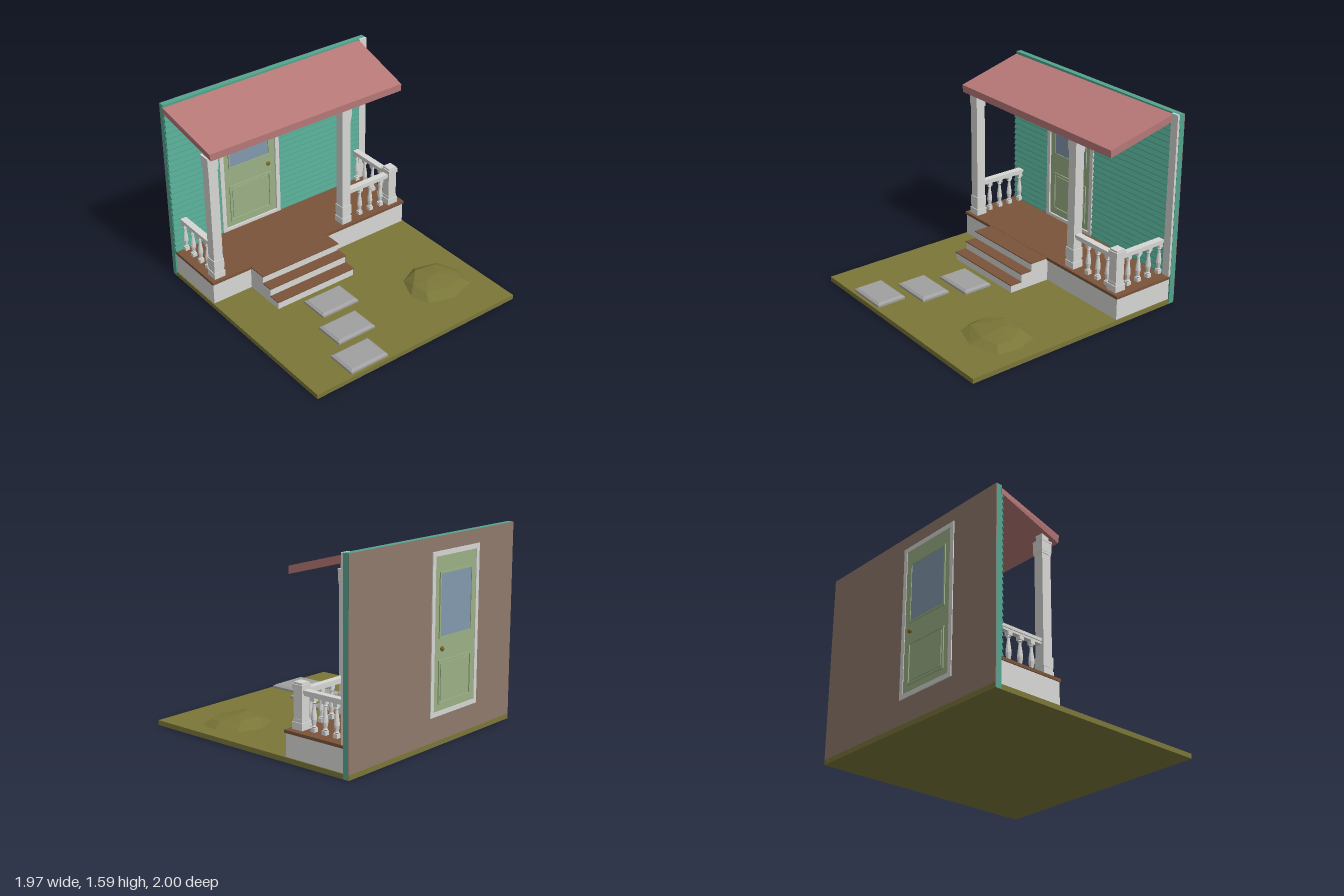
import * as THREE from 'three';
import { ConvexGeometry } from 'three/addons/geometries/ConvexGeometry.js';

const mat = (name, color, extra = {}) => {
  const m = new THREE.MeshStandardMaterial({ color, ...extra });
  m.name = name;
  return m;
};

export function createModel() {
  const root = new THREE.Group();
  root.name = 'porch';
  const white = mat('white paint', 0xd6d6d4);
  const teal = mat('teal siding', 0x52a48e);
  const taupe = mat('taupe plaster', 0x907a6c);
  const red = mat('red roof', 0xb67877);
  const grass = mat('olive grass', 0x7a7638, { flatShading: true });
  const wood = mat('brown wood', 0x7a543b);
  const stone = mat('grey stone', 0xa0a0a0);
  const green = mat('green door', 0x9ab085);
  const glass = mat('blue glass', 0x8299ad);
  const brass = mat('brass', 0x80622a);
  const turned = white.clone();
  turned.flatShading = true;

  const add = (name, geo, material, parent = root) => {
    const m = new THREE.Mesh(geo, material);
    m.name = name;
    parent.add(m);
    return m;
  };
  // Box given by its limits on each axis
  const box = (name, material, x0, x1, y0, y1, z0, z1, parent = root) =>
    add(name, new THREE.BoxGeometry(x1 - x0, y1 - y0, z1 - z0), material, parent)
      .position.set((x0 + x1) / 2, (y0 + y1) / 2, (z0 + z1) / 2);
  const group = (name) => {
    const g = new THREE.Group();
    g.name = name;
    root.add(g);
    return g;
  };
  const rectPath = (P, x0, x1, y0, y1) =>
    new P([[x0, y0], [x1, y0], [x1, y1], [x0, y1]].map(([x, y]) => new THREE.Vector2(x, y)));
  // Rectangular picture frame with border b
  const frame = (name, material, x0, x1, y0, y1, b, z0, z1, parent) => {
    const s = rectPath(THREE.Shape, x0, x1, y0, y1);
    s.holes.push(rectPath(THREE.Path, x0 + b, x1 - b, y0 + b, y1 - b));
    const g = new THREE.ExtrudeGeometry(s, { depth: z1 - z0, bevelEnabled: false });
    add(name, g.translate(0, 0, z0), material, parent);
  };

  // Ground and wall
  box('ground', grass, -0.98, 0.98, 0, 0.04, -0.972, 1);
  box('wall', teal, -0.982, 0.982, 0.002, 1.59, -0.967, -0.92);
  box('wallBack', taupe, -0.982, 0.982, 0.03, 1.589, -0.971, -0.966);
  box('cornerTrim', white, 0.91, 0.98, 0.245, 1.59, -0.921, -0.9);

  // Lapped boards beside and above the door
  const siding = (x0, x1, y0, count) => {
    const pitch = 0.05, pts = [new THREE.Vector2(0.922, y0)];
    for (let i = 0; i < count; i++) {
      pts.push(new THREE.Vector2(0.901, y0 + i * pitch), new THREE.Vector2(0.901, y0 + i * pitch + 0.006),
        new THREE.Vector2(0.917, y0 + (i + 1) * pitch));
    }
    pts.push(new THREE.Vector2(0.922, y0 + count * pitch));
    const g = new THREE.ExtrudeGeometry(new THREE.Shape(pts.reverse()), { depth: x1 - x0, bevelEnabled: false });
    add('siding', g.rotateY(Math.PI / 2).translate(x0, 0, 0), teal);
  };
  siding(-0.98, -0.52, 0.245, 26);
  siding(0.055, 0.912, 0.245, 26);
  siding(-0.52, 0.055, 1.445, 2);

  // Door, seen from both sides of the wall
  const door = group('door');
  box('doorLeaf', green, -0.49, 0.03, 0.26, 1.45, -0.974, -0.911, door);
  frame('doorFrame', white, -0.522, 0.058, 0.235, 1.48, 0.037, -0.979, -0.896, door);
  for (const [z, s] of [[-0.911, 1], [-0.974, -1]]) {
    const span = (d) => [Math.min(z, z + s * d), Math.max(z, z + s * d)];
    frame('windowMoulding', green, -0.435, -0.03, 0.825, 1.325, 0.014, ...span(0.009), door);
    box('windowPane', glass, -0.421, -0.044, 0.839, 1.311, ...span(0.003), door);
    frame('panelMoulding', green, -0.435, -0.03, 0.325, 0.66, 0.014, ...span(0.009), door);
    box('raisedPanel', green, -0.408, -0.057, 0.352, 0.633, ...span(0.006), door);
    const stem = add('knobStem', new THREE.CylinderGeometry(0.009, 0.009, 0.022, 10), brass, door);
    stem.rotation.x = Math.PI / 2;
    stem.position.set(-0.055, 0.75, z + s * 0.008);
    const knob = add('knob', new THREE.SphereGeometry(0.019, 14, 10), brass, door);
    knob.scale.z = 0.65;
    knob.position.set(-0.055, 0.75, z + s * 0.017);
  }

  // Porch floor and steps
  box('porchBase', white, -0.97, 0.97, 0.04, 0.222, -0.92, -0.37);
  box('deck', wood, -0.978, 0.978, 0.221, 0.245, -0.92, -0.362);
  [[-0.37, -0.2, 0.243], [-0.2, -0.1, 0.178], [-0.1, 0.005, 0.11]].forEach(([z0, z1, top]) => {
    box('stepRiser', white, -0.612, 0.137, 0.04, top - 0.008, -0.37, z1 - 0.004);
    box('stepTread', wood, -0.615, 0.14, top - 0.008, top, z0, z1 + 0.002);
  });

  // Square posts from stacked blocks [bottom, top, width]
  const post = (name, x, blocks) => {
    const g = group(name);
    for (const [y0, y1, w] of blocks) {
      box('block', white, x - w / 2, x + w / 2, y0, y1, -0.44 - w / 2, -0.44 + w / 2, g);
    }
  };
  for (const x of [-0.89, 0.38]) {
    post('column', x, [[0.245, 0.3, 0.1], [0.3, 0.325, 0.088], [0.325, 0.412, 0.094], [0.412, 1.23, 0.082],
      [1.23, 1.25, 0.09], [1.25, 1.33, 0.094], [1.33, 1.345, 0.1], [1.345, 1.4, 0.066]]);
  }
  post('newelPost', 0.877, [[0.245, 0.3, 0.1], [0.3, 0.325, 0.086], [0.325, 0.545, 0.08],
    [0.545, 0.58, 0.096], [0.58, 0.595, 0.08]]);

  // Railings with turned balusters
  const profile = [[0.012, 0.275], [0.019, 0.285], [0.014, 0.295], [0.022, 0.34], [0.02, 0.37],
    [0.012, 0.43], [0.011, 0.455], [0.018, 0.462], [0.012, 0.475]].map(([r, y]) => new THREE.Vector2(r, y));
  const balusterGeo = new THREE.LatheGeometry(profile, 10);
  const baluster = (x, z, parent) => {
    add('baluster', balusterGeo, turned, parent).position.set(x, 0, z);
    for (const [y0, y1] of [[0.245, 0.277], [0.473, 0.502]]) {
      box('balusterBlock', white, x - 0.019, x + 0.019, y0, y1, z - 0.019, z + 0.019, parent);
    }
  };
  const front = group('frontRailing');
  box('handrail', white, 0.42, 0.84, 0.517, 0.542, -0.468, -0.412, front);
  box('underRail', white, 0.42, 0.84, 0.5, 0.518, -0.46, -0.42, front);
  for (const x of [0.553, 0.665, 0.777]) baluster(x, -0.44, front);
  for (const x of [-0.89, 0.877]) {
    const side = group('sideRailing');
    box('handrail', white, x - 0.028, x + 0.028, 0.517, 0.542, -0.91, -0.478, side);
    box('underRail', white, x - 0.02, x + 0.02, 0.5, 0.518, -0.91, -0.478, side);
    for (const z of [-0.56, -0.667, -0.774, -0.887]) baluster(x, z, side);
  }

  // Sloping roof, tapering toward the front
  const corners = [[-0.984, 1.568, -0.925], [0.914, 1.58, -0.925], [-0.984, 1.522, -0.925], [0.914, 1.522, -0.925],
    [-0.955, 1.42, -0.33], [0.885, 1.42, -0.33], [-0.945, 1.36, -0.33], [0.885, 1.36, -0.33]];
  add('roof', new ConvexGeometry(corners.map((c) => new THREE.Vector3(...c))), red);

  // Bevelled stepping stones
  for (const [x, z] of [[-0.23, 0.187], [-0.335, 0.523], [-0.472, 0.85]]) {
    const b = 0.02;
    const g = new THREE.ExtrudeGeometry(rectPath(THREE.Shape, -0.155, 0.155, -0.105, 0.105),
      { depth: 0.02, bevelThickness: 0.014, bevelSize: b, bevelSegments: 1 });
    add('steppingStone', g.rotateX(-Math.PI / 2).translate(x, 0.038, z), stone);
  }

  // Faceted grassy mound
  const mound = [[0.325, 0.04, 0.51], [0.405, 0.04, 0.32], [0.59, 0.04, 0.235], [0.8, 0.04, 0.3], [0.86, 0.04, 0.48],
    [0.825, 0.04, 0.665], [0.585, 0.04, 0.74], [0.375, 0.04, 0.67], [0.41, 0.086, 0.6], [0.4, 0.088, 0.45],
    [0.52, 0.1, 0.33], [0.7, 0.1, 0.36], [0.79, 0.084, 0.5], [0.77, 0.08, 0.62], [0.62, 0.085, 0.655],
    [0.5, 0.108, 0.5], [0.62, 0.115, 0.47]];
  add('mound', new ConvexGeometry(mound.map((p) => new THREE.Vector3(...p))), grass);

  // Share the single white material between flat and smooth parts
  balusterGeo.copy(balusterGeo.toNonIndexed()).setIndex(null);
  balusterGeo.computeVertexNormals();
  root.traverse((o) => { if (o.material === turned) o.material = white; });
  return root;
}
